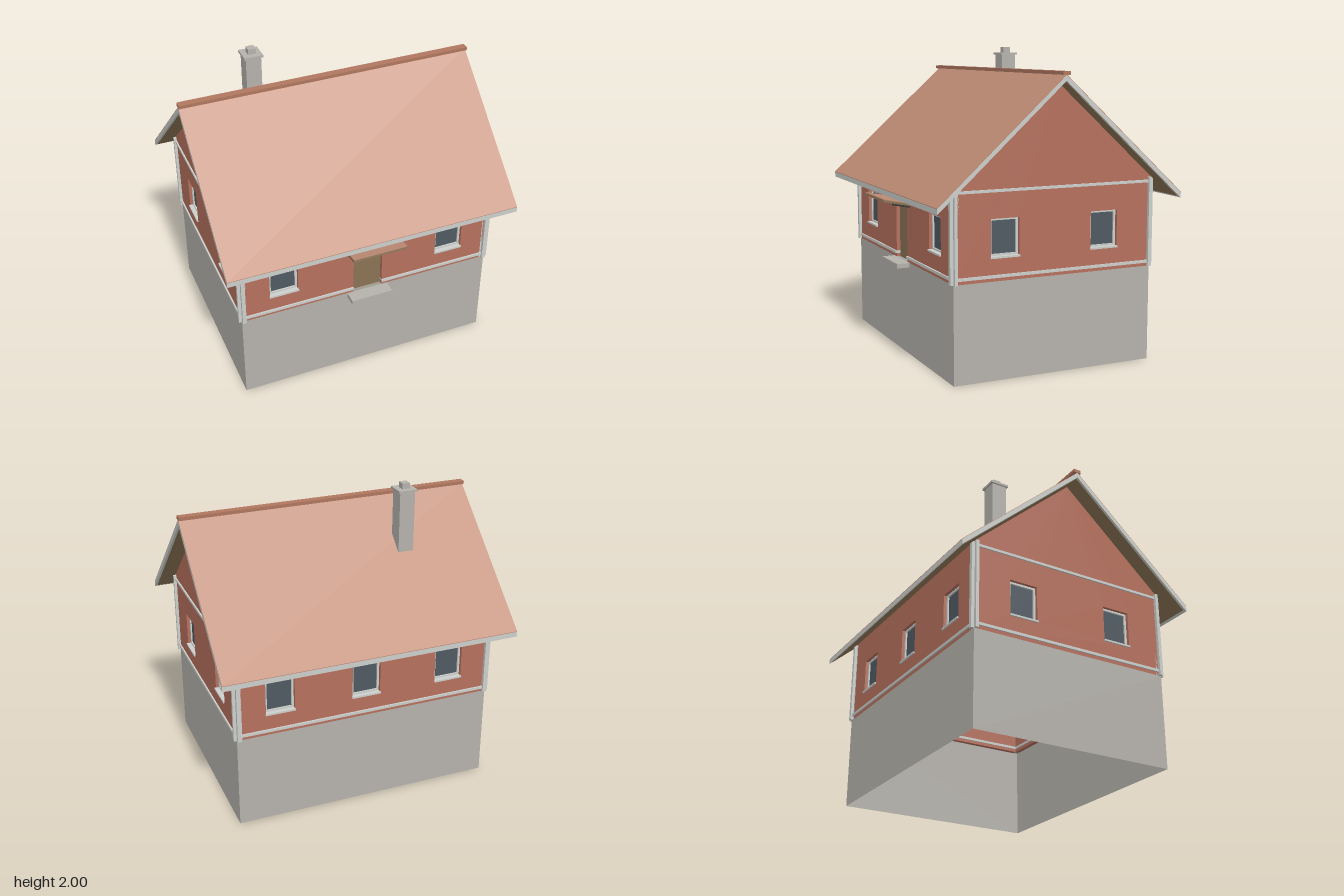
import * as THREE from 'three';

const mat = (name, color, side = THREE.FrontSide) => {
  const m = new THREE.MeshStandardMaterial({ color, side });
  m.name = name;
  return m;
};

export function createModel() {
  const house = new THREE.Group();
  house.name = 'house';
  const stone = mat('stone', 0xb5b2ac, THREE.DoubleSide);
  const plaster = mat('redWall', 0xb5705d);
  const trim = mat('paleTrim', 0xcccfcb);
  const tile = mat('roofTile', 0xbe8b74);
  const ridgeTile = mat('ridgeTile', 0xb0775f);
  const wood = mat('wood', 0x8a7355);
  const glass = mat('glass', 0x505a62, THREE.DoubleSide);
  const iron = mat('darkIron', 0x3a3530);

  const add = (parent, name, geo, material) => {
    const mesh = new THREE.Mesh(geo, material);
    mesh.name = name;
    parent.add(mesh);
    return mesh;
  };
  // Box given by its limits on each axis
  const box = (parent, name, material, [x0, x1], [y0, y1], [z0, z1]) => {
    const mesh = add(parent, name, new THREE.BoxGeometry(x1 - x0, y1 - y0, z1 - z0), material);
    mesh.position.set((x0 + x1) / 2, (y0 + y1) / 2, (z0 + z1) / 2);
    return mesh;
  };
  const polygon = (pts) => new THREE.Shape(pts.map(([x, y]) => new THREE.Vector2(x, y)));
  const rect = (x0, x1, y0, y1) => polygon([[x0, y0], [x1, y0], [x1, y1], [x0, y1]]);
  const extrude = (shape, depth) => new THREE.ExtrudeGeometry(shape, { depth, bevelEnabled: false });

  const CZ = -0.025, HX = 0.865, HZ = 0.68, BASE = 0.615, EAVE = 1.195, THICK = 0.03;
  const WIN = { h: 0.095, y0: 0.765, y1: 0.995 };

  // Recessed window: frame ring, pane and sill, at u along a wall facing local +z
  function addWindow(parent, u) {
    const g = new THREE.Group();
    g.name = 'window';
    g.position.x = u;
    parent.add(g);
    const ring = rect(-WIN.h, WIN.h, WIN.y0, WIN.y1);
    ring.holes.push(rect(-0.081, 0.081, 0.778, 0.982));
    add(g, 'windowFrame', extrude(ring, 0.02), trim).position.z = -0.04;
    const pane = add(g, 'windowPane', new THREE.PlaneGeometry(0.164, 0.206), glass);
    pane.position.set(0, 0.88, -0.03);
    box(g, 'windowSill', trim, [-0.098, 0.098], [0.755, 0.767], [-0.035, 0.01]);
  }

  // One side of the house: foundation, wall with openings, bands and windows
  function addSide(name, half, windows, { gable = false, door = false }, position, turn) {
    const g = new THREE.Group();
    g.name = name;
    g.position.copy(position);
    g.rotation.y = turn;
    house.add(g);
    add(g, 'foundation', new THREE.PlaneGeometry(half * 2, BASE), stone).position.y = BASE / 2;

    const pts = [[-half, BASE]];
    if (door) pts.push([-0.1, BASE], [-0.1, 1], [0.1, 1], [0.1, BASE]);
    pts.push([half, BASE], [half, EAVE]);
    if (gable) pts.push([0, 1.803]);
    pts.push([-half, EAVE]);
    const shape = polygon(pts);
    windows.forEach((u) => shape.holes.push(rect(u - WIN.h, u + WIN.h, WIN.y0, WIN.y1)));
    add(g, 'wall', extrude(shape, THICK), plaster).position.z = -THICK;
    windows.forEach((u) => addWindow(g, u));

    const end = half - 0.02, band = [-0.035, 0.01];
    if (door) {
      for (const s of [[-end, -0.1], [0.1, end]]) box(g, 'lowerBand', trim, s, [0.637, 0.655], band);
      box(g, 'door', wood, [-0.1, 0.1], [BASE, 1], [-0.04, -0.025]);
    } else box(g, 'lowerBand', trim, [-end, end], [0.637, 0.655], band);
    if (gable) box(g, 'gableBand', trim, [-end, end], [1.155, 1.172], band);
  }
  const V = (x, z) => new THREE.Vector3(x, 0, z);
  addSide('frontSide', HX, [-0.578, 0.578], { door: true }, V(0, CZ + HZ), 0);
  addSide('backSide', HX, [-0.578, 0, 0.578], {}, V(0, CZ - HZ), Math.PI);
  addSide('leftSide', HZ, [-0.343, 0.341], { gable: true }, V(HX, CZ), Math.PI / 2);
  addSide('rightSide', HZ, [-0.341, 0.343], { gable: true }, V(-HX, CZ), -Math.PI / 2);

  // Corner boards, two crossing boards per corner
  for (const sx of [-1, 1]) for (const sz of [-1, 1]) {
    const post = new THREE.Group();
    post.name = 'cornerPost';
    post.position.set(sx * HX, 0, CZ + sz * HZ);
    house.add(post);
    const span = (s, a, b) => (s > 0 ? [a, b] : [-b, -a]);
    box(post, 'cornerBoard', trim, span(sx, -0.025, 0), [BASE, 1.185], span(sz, -0.035, 0.02));
    box(post, 'cornerBoard', trim, span(sx, -0.035, 0.02), [BASE, 1.19], span(sz, -0.02, 0));
  }

  // Roof layers: chevrons swept along x
  function addRoofLayer(name, material, low, high, halfZ, halfX) {
    const rise = 0.745, peak = 1.845, foot = peak - (rise * halfZ) / 0.83;
    const shape = polygon([
      [-halfZ, foot + low], [0, peak + low], [halfZ, foot + low],
      [halfZ, foot + high], [0, peak + high], [-halfZ, foot + high],
    ]);
    const geo = extrude(shape, halfX * 2).translate(0, 0, -halfX).rotateY(Math.PI / 2);
    add(house, name, geo, material).position.z = CZ;
  }
  addRoofLayer('roofTiles', tile, -0.004, 0, 0.83, 0.985);
  addRoofLayer('roofEdgeBoards', trim, -0.038, -0.004, 0.83, 0.985);
  addRoofLayer('roofSoffit', wood, -0.041, -0.038, 0.815, 0.97);
  box(house, 'ridgeCap', ridgeTile, [-0.987, 0.987], [1.842, 1.864], [CZ - 0.025, CZ + 0.025]);

  // Chimney
  const chimney = new THREE.Group();
  chimney.name = 'chimney';
  chimney.position.set(-0.418, 0, -0.302);
  house.add(chimney);
  for (const [name, h, y0, y1] of [
    ['chimneyShaft', 0.052, 1.54, 1.947], ['chimneyCap', 0.063, 1.947, 1.963], ['chimneyPot', 0.026, 1.963, 2],
  ]) box(chimney, name, stone, [-h, h], [y0, y1], [-h, h]);

  // Entrance: step and tilted canopy on brackets
  box(house, 'doorStep', stone, [-0.143, 0.14], [0.585, BASE], [0.655, 0.742]);
  const canopy = new THREE.Group();
  canopy.name = 'doorCanopy';
  canopy.position.set(0, 1.0, 0.66);
  canopy.rotation.x = -0.2;
  house.add(canopy);
  box(canopy, 'canopyBoard', wood, [-0.183, 0.183], [-0.006, 0.008], [0, 0.187]);
  box(canopy, 'canopyTiles', tile, [-0.183, 0.183], [0.008, 0.013], [0, 0.187]);
  for (const s of [-1, 1]) {
    box(canopy, 'canopyBracket', iron, [s * 0.168 - 0.006, s * 0.168 + 0.006], [-0.018, -0.006], [0, 0.12]);
  }
  return house;
}
